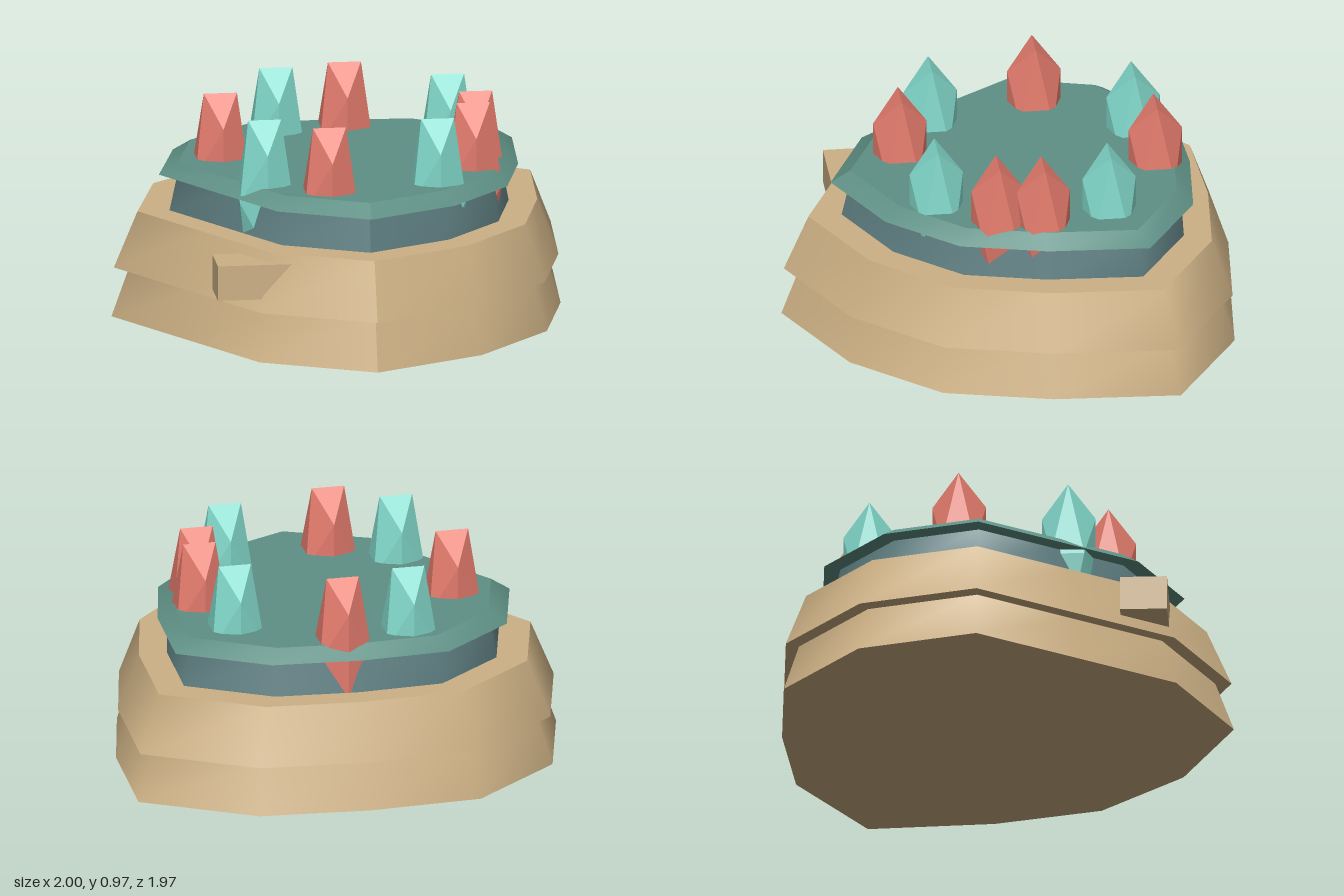
import * as THREE from 'three';

// Radius of the irregular outline every 30 degrees, from the front (+z) towards +x
const OUTLINE = [1.08, 0.97, 0.94, 0.93, 1.11, 0.98, 0.89, 0.995, 1.04, 1.04, 0.874, 0.98];
const CENTRE = { x: 0.04, z: -0.1 };

const material = (color, extra = {}) => new THREE.MeshStandardMaterial({ color, ...extra });

// Tapered slab that follows the outline, scaled separately at bottom and top
function slab(name, y0, y1, scale0, scale1, mat) {
  const geo = new THREE.CylinderGeometry(scale1, scale0, y1 - y0, 12, 1);
  const p = geo.attributes.position;
  for (let i = 0; i < p.count; i++) {
    const x = p.getX(i), z = p.getZ(i);
    const step = (Math.round(Math.atan2(x, z) / (Math.PI / 6)) + 12) % 12;
    p.setX(i, x * OUTLINE[step]);
    p.setZ(i, z * OUTLINE[step]);
  }
  geo.computeVertexNormals();
  const mesh = new THREE.Mesh(geo, mat);
  mesh.name = name;
  mesh.position.set(CENTRE.x, (y0 + y1) / 2, CENTRE.z);
  return mesh;
}

export function createModel() {
  const group = new THREE.Group();
  group.name = 'crystalPlatform';

  const tan = material(0xcdb185);
  const wall = material(0x5f7f82);
  const rim = material(0x5f9085);
  const red = material(0xe27a6c, { flatShading: true });
  const teal = material(0x80d5c8, { flatShading: true });

  // Stepped base, inner wall and overhanging top
  group.add(
    slab('lowerTier', 0, 0.22, 1, 0.925, tan),
    slab('upperTier', 0.22, 0.47, 0.99, 0.89, tan),
    slab('innerWall', 0.46, 0.64, 0.757, 0.72, wall),
    slab('topSlab', 0.632, 0.685, 0.8, 0.72, rim)
  );

  // Block jutting out of the front corner
  const block = new THREE.Mesh(new THREE.BoxGeometry(0.4, 0.155, 0.205), tan);
  block.name = 'sideBlock';
  block.position.set(-0.43, 0.352, 0.613);
  group.add(block);

  // Ring of stretched crystals
  const crystalGeo = new THREE.IcosahedronGeometry(0.138, 0).scale(1, 3, 1);
  const crystals = [
    [-0.22, -0.595, teal], [0.51, -0.4, teal], [-0.373, 0.277, teal], [0.378, 0.342, teal],
    [0.088, -0.655, red], [-0.511, -0.195, red], [0.597, -0.1, red], [0.564, 0.094, red], [-0.108, 0.442, red]
  ];
  crystals.forEach(([x, z, mat], i) => {
    const mesh = new THREE.Mesh(crystalGeo, mat);
    mesh.name = `crystal${i + 1}`;
    mesh.position.set(x, 0.613, z);
    group.add(mesh);
  });

  return group;
}
